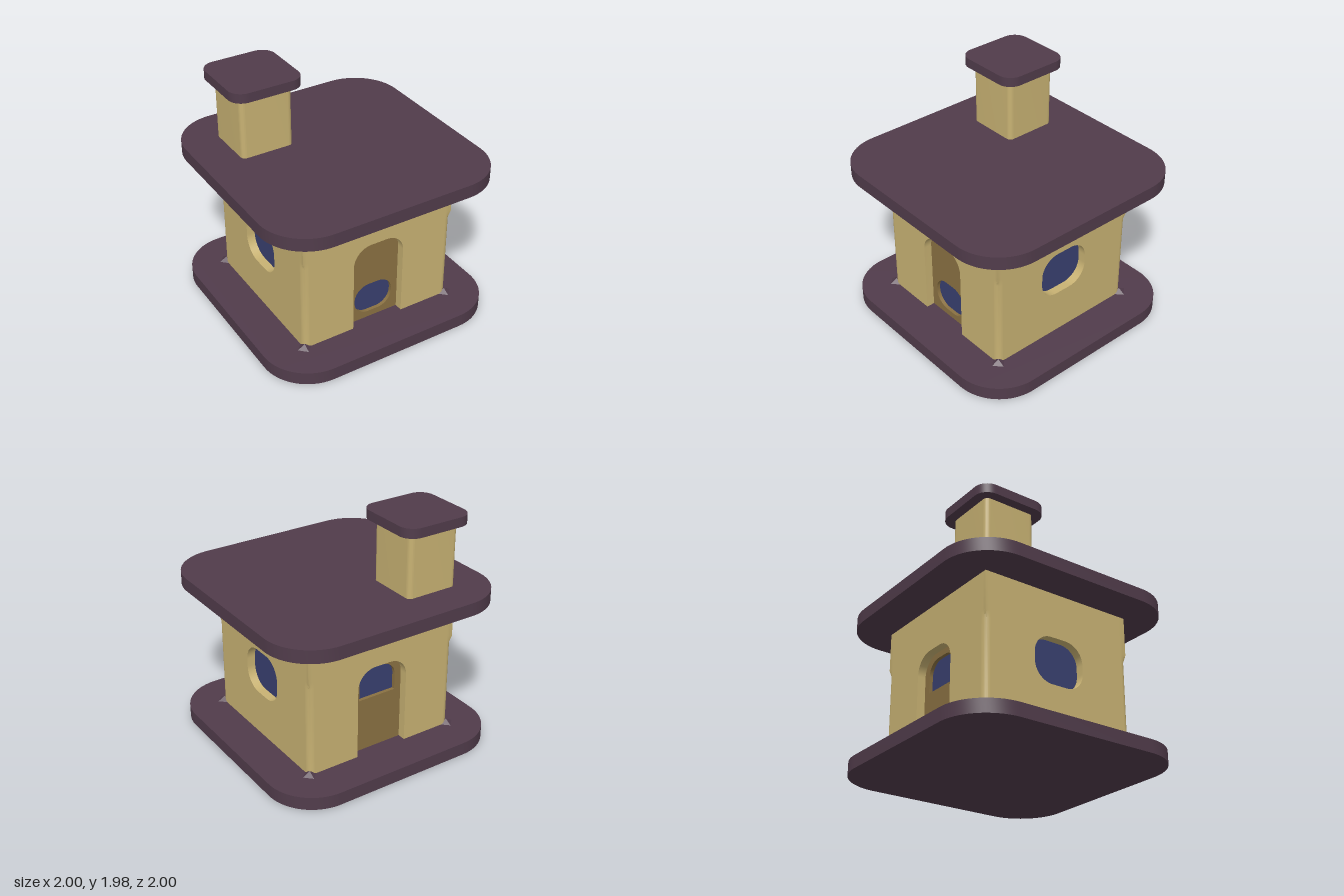
import * as THREE from 'three';
import { toCreasedNormals } from 'three/addons/utils/BufferGeometryUtils.js';

const paint = (color) => new THREE.MeshStandardMaterial({ color });
const PLASTER = paint(0xc8b273), SLATE = paint(0x513c4b), WOOD = paint(0x8a7142), GLASS = paint(0x394070);

const HALF = 0.683;   // half width of the house
const POST = 0.05;    // corner post size
const RECESS = 0.07;  // depth of door and window openings

// Rectangle with rounded top (rt) and bottom (rb) corners
function roundRect(x0, y0, x1, y1, rt, rb = rt) {
  const s = new THREE.Shape();
  s.moveTo(x0 + rb, y0);
  s.lineTo(x1 - rb, y0);
  if (rb) s.absarc(x1 - rb, y0 + rb, rb, -Math.PI / 2, 0, false);
  s.lineTo(x1, y1 - rt);
  if (rt) s.absarc(x1 - rt, y1 - rt, rt, 0, Math.PI / 2, false);
  s.lineTo(x0 + rt, y1);
  if (rt) s.absarc(x0 + rt, y1 - rt, rt, Math.PI / 2, Math.PI, false);
  s.lineTo(x0, y0 + rb);
  if (rb) s.absarc(x0 + rb, y0 + rb, rb, Math.PI, Math.PI * 1.5, false);
  return s;
}

function extrude(shape, depth, steps = 1) {
  return new THREE.ExtrudeGeometry(shape, { depth, steps, bevelEnabled: false, curveSegments: 10 });
}

function mesh(name, geometry, material) {
  const m = new THREE.Mesh(toCreasedNormals(geometry, 0.6), material);
  m.name = name;
  return m;
}

// Horizontal rounded square between heights y0 and y1
function slab(name, half, r, y0, y1, material) {
  const g = extrude(roundRect(-half, -half, half, half, r), y1 - y0);
  g.rotateX(-Math.PI / 2).translate(0, y0, 0);
  return mesh(name, g, material);
}

// Upright panel facing +z, front surface at zFront
function panel(name, outline, hole, zFront, depth, material) {
  if (hole) outline.holes.push(hole);
  return mesh(name, extrude(outline, depth).translate(0, 0, zFront - depth), material);
}

// Corner post: rounded low down, flaring to a square edge above
function cornerPost() {
  const s = new THREE.Shape();
  s.moveTo(0, 0);
  s.lineTo(POST, 0);
  s.absarc(0, 0, POST, 0, Math.PI / 2, false);
  const g = extrude(s, 3, 3);
  const heights = [0.1, 0.87, 0.93, 1.28];
  const p = g.attributes.position;
  for (let i = 0; i < p.count; i++) {
    const level = Math.round(p.getZ(i));
    const x = p.getX(i), y = p.getY(i);
    const k = level > 1 && Math.hypot(x, y) > 0 ? POST / Math.max(x, y) : 1;
    p.setXYZ(i, x * k, y * k, heights[level]);
  }
  g.rotateX(-Math.PI / 2).translate(HALF - POST, 0, -(HALF - POST));
  return mesh('cornerPost', g, PLASTER);
}

// One side of the house with its opening, filled according to kind
function side(kind) {
  const group = new THREE.Group();
  group.name = kind + 'Side';
  const w = HALF - POST;
  const opening = () => kind === 'window'
    ? roundRect(-0.23, 0.49, 0.23, 0.88, 0.16)
    : roundRect(-0.23, 0.105, 0.23, 0.88, 0.16, 0);
  group.add(panel('wall', roundRect(-w, 0.1, w, 1.28, 0), opening(), HALF, RECESS + 0.02, PLASTER));
  const inner = HALF - RECESS;
  if (kind === 'window') {
    group.add(panel('windowPane', opening(), null, inner, 0.03, GLASS));
  } else {
    const light = () => kind === 'frontDoor'
      ? roundRect(-0.175, 0.165, 0.175, 0.44, 0.13)
      : roundRect(-0.17, 0.57, 0.17, 0.83, 0.12, 0);
    group.add(panel('door', opening(), light(), inner, 0.05, WOOD));
    group.add(panel('doorPane', light(), null, inner - 0.03, 0.02, GLASS));
  }
  return group;
}

export function createModel() {
  const model = new THREE.Group();
  model.name = 'house';
  model.add(slab('base', 1, 0.4, 0, 0.11, SLATE));
  model.add(slab('roof', 1, 0.4, 1.26, 1.37, SLATE));

  // Walls, corner posts and the small wedges at their feet
  ['frontDoor', 'window', 'backDoor', 'window'].forEach((kind, i) => {
    const quarter = new THREE.Group();
    quarter.name = 'houseQuarter';
    const wedge = mesh('cornerWedge', new THREE.ConeGeometry(0.065, 0.035, 4), SLATE);
    wedge.position.set(0.675, 0.1265, -0.675);
    quarter.add(side(kind), cornerPost(), wedge);
    quarter.rotation.y = i * Math.PI / 2;
    model.add(quarter);
  });

  // Chimney with overhanging cap
  const chimney = new THREE.Group();
  chimney.name = 'chimney';
  chimney.add(slab('chimneyStack', 0.227, 0.04, 1.36, 1.91, PLASTER));
  chimney.add(slab('chimneyCap', 0.308, 0.12, 1.9, 1.98, SLATE));
  chimney.position.set(-0.457, 0, -0.457);
  model.add(chimney);
  return model;
}
